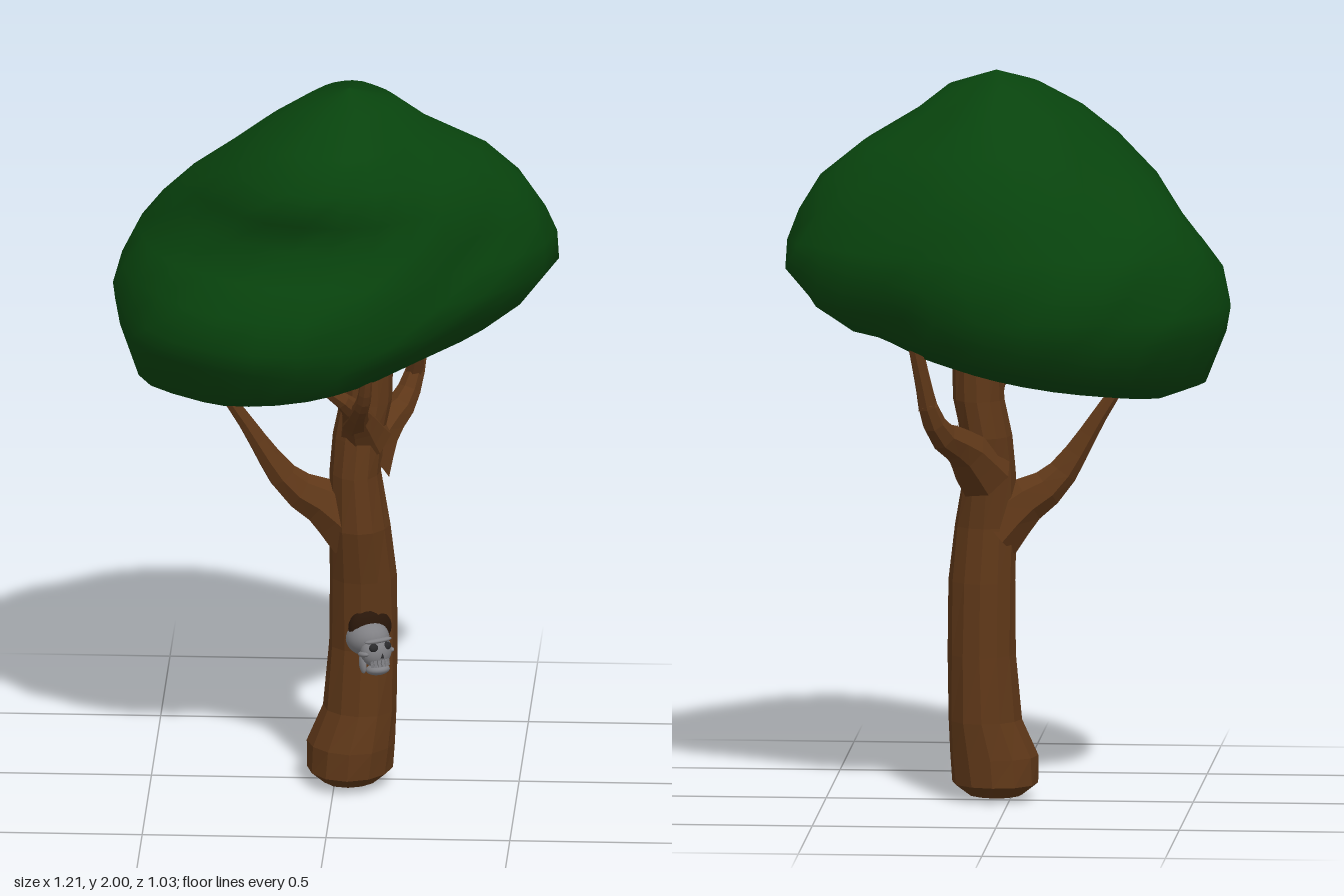
import * as THREE from 'three';

const mat = (color, flatShading = false) => new THREE.MeshStandardMaterial({ color, flatShading, roughness: 1 });
const BARK = mat(0x5e3718, true), LEAF = mat(0x08430d), HOLE = mat(0x2a170a), BONE = mat(0x808084), DARK = mat(0x2a2a2c);

function add(parent, name, geometry, material) {
  const mesh = new THREE.Mesh(geometry, material);
  mesh.name = name;
  parent.add(mesh);
  return mesh;
}

function ellipsoid(parent, name, [x, y, z], [rx, ry, rz], material) {
  const mesh = add(parent, name, new THREE.SphereGeometry(1, 20, 14), material);
  mesh.position.set(x, y, z);
  mesh.scale.set(rx, ry, rz);
  return mesh;
}

// Skin over closed rings, listed from the bottom pole to the top pole.
function loft(rows, sides, point) {
  const pos = [], index = [];
  rows.forEach((row, i) => {
    for (let j = 0; j < sides; j++) {
      pos.push(...point(row, (j / sides) * Math.PI * 2, i));
      if (i === rows.length - 1) continue;
      const a = i * sides + j, b = i * sides + (j + 1) % sides;
      index.push(a, a + sides, b, b, a + sides, b + sides);
    }
  });
  const g = new THREE.BufferGeometry();
  g.setAttribute('position', new THREE.Float32BufferAttribute(pos, 3));
  g.setIndex(index);
  g.computeVertexNormals();
  return g;
}

// Crown: height, tilt along x, x range, z range, ring centre, size of the front lobe
function crown() {
  const rows = [
    [1.35, 0, 0.11, 0.11, -0.02, -0.02, 0.11, -0.02, 1],
    [1.29, 0.08, -0.17, 0.22, -0.18, 0.18, 0.03, -0.01, 1],
    [1.195, 0.17, -0.43, 0.27, -0.32, 0.31, -0.06, -0.03, 1],
    [1.24, 0.14, -0.54, 0.36, -0.43, 0.43, -0.07, -0.06, 1],
    [1.31, 0, -0.595, 0.43, -0.49, 0.49, -0.08, -0.08, 1.01],
    [1.38, 0, -0.6, 0.53, -0.5, 0.51, -0.08, -0.1, 1.03],
    [1.47, 0, -0.585, 0.6, -0.51, 0.5, -0.06, -0.1, 1.01],
    [1.55, 0, -0.555, 0.6, -0.48, 0.475, -0.03, -0.1, 0.95],
    [1.63, 0, -0.505, 0.57, -0.45, 0.43, 0.0, -0.07, 0.87],
    [1.72, 0, -0.4, 0.51, -0.41, 0.42, 0.03, -0.03, 1.02],
    [1.81, 0, -0.28, 0.4, -0.33, 0.405, 0.05, 0, 1.12],
    [1.89, 0, -0.19, 0.26, -0.21, 0.335, 0.05, 0.03, 1.1],
    [1.96, 0, -0.08, 0.17, -0.13, 0.2, 0.04, 0.04, 1.05],
    [2.0, 0, 0.04, 0.04, 0.05, 0.05, 0.04, 0.05, 1],
  ];
  return loft(rows, 28, ([y, tilt, x0, x1, z0, z1, cx, cz, lobe], t, i) => {
    const c = Math.cos(t), s = Math.sin(t), corner = (2 * c * s) ** 2;
    const cut = s > 0 ? (c < 0 ? 0 : -0.11) : (c < 0 ? -0.05 : -0.09);
    const front = Math.max(0, Math.cos((t - Math.PI * 0.75) * 1.4));
    const k = 1 + corner * (cut + 0.015 * Math.sin(5 * t + i * 1.9)) + front * (lobe - 1) + 0.006 * Math.sin(9 * t + i * 2.3);
    const x = cx + c * k * (c > 0 ? x1 - cx : cx - x0);
    const z = cz + s * k * (s > 0 ? z1 - cz : cz - z0);
    return [x, y + tilt * x, z];
  });
}

// Trunk: height, centre x and z, radius along x and z
function trunk() {
  const rows = [
    [0, 0.04, 0.03, 0, 0], [0.012, 0.04, 0.03, 0.075, 0.085], [0.045, 0.04, 0.03, 0.117, 0.128],
    [0.12, 0.046, 0.03, 0.12, 0.125], [0.22, 0.07, 0.02, 0.1, 0.11], [0.4, 0.077, 0.018, 0.093, 0.094],
    [0.6, 0.076, 0.032, 0.091, 0.094], [0.75, 0.068, 0.05, 0.084, 0.098], [0.9, 0.058, 0.04, 0.07, 0.093],
    [1.0, 0.066, 0.025, 0.07, 0.09], [1.1, 0.085, 0.02, 0.07, 0.08], [1.25, 0.09, 0.02, 0.068, 0.07],
    [1.32, 0.09, 0.02, 0, 0],
  ];
  return loft(rows, 12, ([y, cx, cz, rx, rz], t, i) => {
    const k = 1 + 0.025 * Math.sin(3 * t + i * 1.3);
    return [cx + rx * k * Math.cos(t), y, cz + rz * k * Math.sin(t)];
  });
}

// Branch: a tube along the points, thinning from r0 to r1
function branch(points, r0, r1) {
  const curve = new THREE.CatmullRomCurve3(points.map((p) => new THREE.Vector3(...p)));
  const steps = 10, sides = 7;
  const g = new THREE.TubeGeometry(curve, steps, 1, sides);
  const pos = g.attributes.position, v = new THREE.Vector3();
  for (let i = 0; i < pos.count; i++) {
    const t = Math.floor(i / (sides + 1)) / steps;
    const centre = curve.getPointAt(t);
    const r = r1 + (r0 - r1) * Math.pow(1 - t, 2.2);
    v.fromBufferAttribute(pos, i).sub(centre).multiplyScalar(r).add(centre);
    pos.setXYZ(i, v.x, v.y, v.z);
  }
  g.computeVertexNormals();
  return g;
}

function skull() {
  const g = new THREE.Group();
  g.name = 'skull';
  ellipsoid(g, 'cranium', [0, 0.022, -0.01], [0.058, 0.05, 0.066], BONE);
  ellipsoid(g, 'face', [0, -0.01, 0.03], [0.046, 0.045, 0.034], BONE);
  ellipsoid(g, 'brow', [0, 0.019, 0.046], [0.042, 0.008, 0.017], BONE);
  ellipsoid(g, 'jaw', [0, -0.062, 0.03], [0.033, 0.016, 0.033], BONE);
  for (const s of [-1, 1]) {
    ellipsoid(g, 'eyeSocket', [s * 0.02, 0.002, 0.054], [0.014, 0.012, 0.01], DARK);
    ellipsoid(g, 'cheekbone', [s * 0.04, -0.014, 0.03], [0.012, 0.008, 0.022], BONE);
    ellipsoid(g, 'jawHinge', [s * 0.035, -0.042, 0.012], [0.009, 0.028, 0.014], BONE);
  }
  const nose = add(g, 'noseHole', new THREE.ConeGeometry(0.009, 0.02, 3), DARK);
  nose.position.set(0, -0.018, 0.061);
  // Two rows of teeth on an arc
  for (const y of [-0.038, -0.048]) {
    for (let i = -3; i <= 3; i++) {
      const a = i * 0.32;
      const tooth = add(g, 'tooth', new THREE.BoxGeometry(0.008, 0.009, 0.006), BONE);
      tooth.position.set(Math.sin(a) * 0.031, y, 0.029 + Math.cos(a) * 0.031);
      tooth.rotation.y = a;
    }
  }
  return g;
}

export function createModel() {
  const tree = new THREE.Group();
  tree.name = 'tree';
  add(tree, 'crown', crown(), LEAF);
  add(tree, 'trunk', trunk(), BARK);

  // Side, front and back branches with their forks
  add(tree, 'sideBranch', branch([[0.05, 0.74, 0.045], [-0.03, 0.81, 0.055], [-0.11, 0.86, 0.07], [-0.165, 0.93, 0.08], [-0.24, 1.05, 0.09], [-0.34, 1.2, 0.11]], 0.095, 0.016), BARK);
  add(tree, 'frontBranch', branch([[0.08, 1.0, 0.04], [0.065, 1.08, 0.12], [0.04, 1.14, 0.19], [-0.09, 1.24, 0.22]], 0.075, 0.015), BARK);
  add(tree, 'frontFork', branch([[0.06, 1.06, 0.11], [0.075, 1.12, 0.2], [0.09, 1.17, 0.24], [0.1, 1.27, 0.265]], 0.04, 0.017), BARK);
  add(tree, 'backBranch', branch([[0.07, 0.9, 0], [0.12, 0.98, -0.08], [0.17, 1.02, -0.15], [0.2, 1.08, -0.19], [0.22, 1.17, -0.21], [0.25, 1.32, -0.235]], 0.085, 0.018), BARK);
  add(tree, 'backFork', branch([[0.205, 1.1, -0.2], [0.215, 1.16, -0.17], [0.235, 1.25, -0.14]], 0.028, 0.014), BARK);

  // Hollow in the trunk with the skull looking out
  const facing = 0.6;
  ellipsoid(tree, 'hollow', [0.1, 0.468, 0.083], [0.067, 0.07, 0.038], HOLE).rotation.y = facing;
  const head = skull();
  head.position.set(0.1, 0.42, 0.11);
  head.rotation.set(-0.18, facing, 0, 'YXZ');
  tree.add(head);
  return tree;
}
